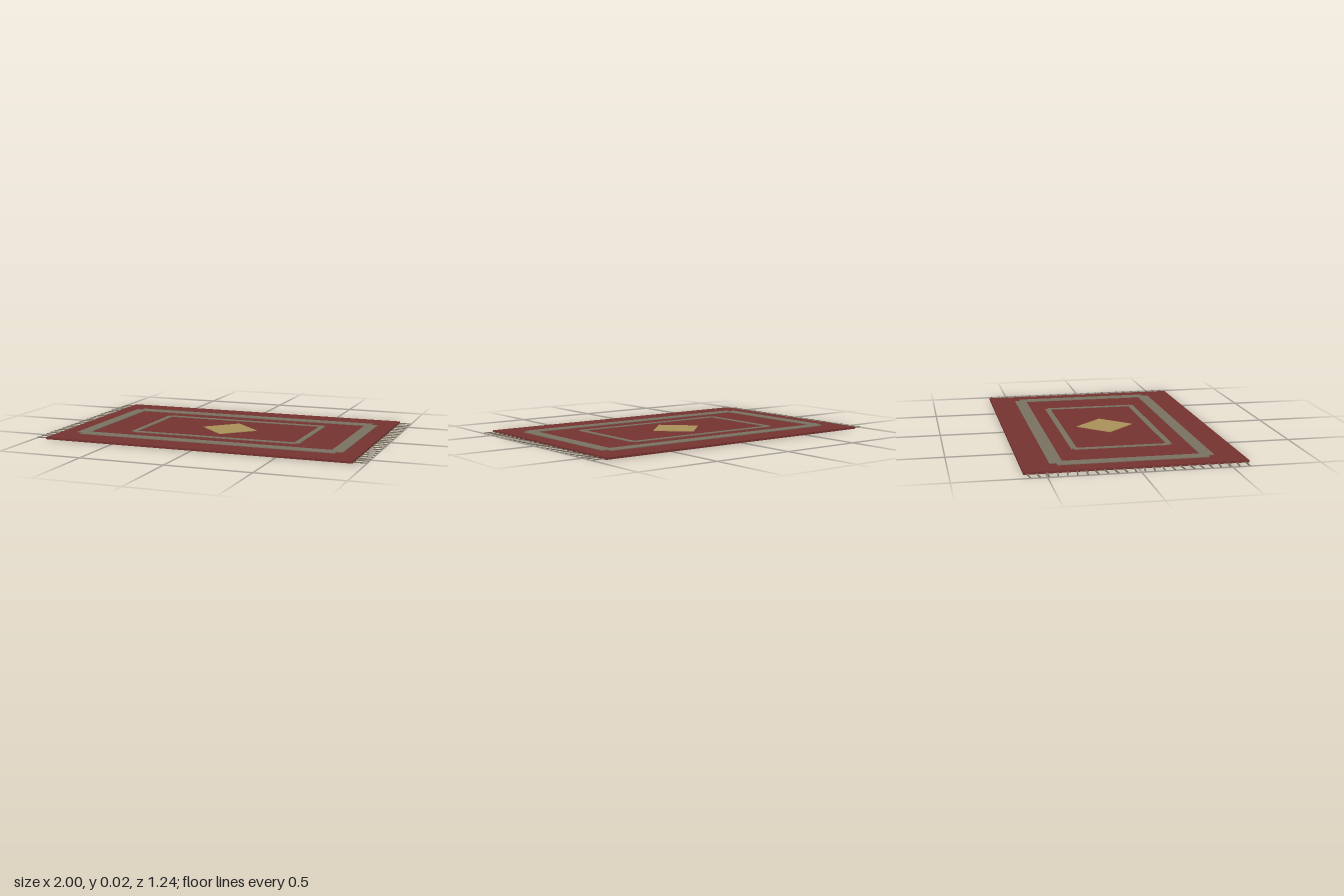
import * as THREE from 'three';

const mat = (color) => new THREE.MeshStandardMaterial({ color });

export function createModel() {
  const rug = new THREE.Group();
  rug.name = 'rug';
  const red = mat(0x74322f), taupe = mat(0x797060), gold = mat(0xa89058);

  const slab = (parent, name, size, pos, material, turn = 0) => {
    const mesh = new THREE.Mesh(new THREE.BoxGeometry(...size), material);
    mesh.name = name;
    mesh.position.set(...pos);
    mesh.rotation.y = turn;
    parent.add(mesh);
  };

  // Woven body
  slab(rug, 'body', [1.856, 0.012, 1.236], [0, 0.006, 0], red);

  // Raised border made of four strips, notched at the corners
  const border = (name, x, z, width, top) => {
    const group = new THREE.Group();
    group.name = name;
    const height = top - 0.008, y = 0.008 + height / 2;
    for (const s of [-1, 1]) {
      slab(group, 'longStrip', [x * 2, height, width], [0, y, s * z], taupe);
      slab(group, 'shortStrip', [width, height, z * 2], [s * x, y, 0], taupe);
    }
    rug.add(group);
  };
  border('outerBorder', 0.79, 0.423, 0.074, 0.016);
  border('innerBorder', 0.513, 0.277, 0.035, 0.015);

  // Centre diamond
  slab(rug, 'medallion', [0.245, 0.008, 0.245], [0, 0.012, 0], gold, Math.PI / 4);

  // Fringe: slightly splayed threads along both short ends
  const count = 24;
  for (const s of [-1, 1]) {
    const fringe = new THREE.Group();
    fringe.name = s > 0 ? 'leftFringe' : 'rightFringe';
    for (let i = 0; i < count; i++) {
      const z = -0.595 + (1.19 * i) / (count - 1);
      const turn = 0.14 * Math.cos(i * 0.75);
      slab(fringe, 'thread', [0.076, 0.005, 0.007], [s * 0.962, 0.004, z], taupe, turn);
    }
    rug.add(fringe);
  }
  return rug;
}
